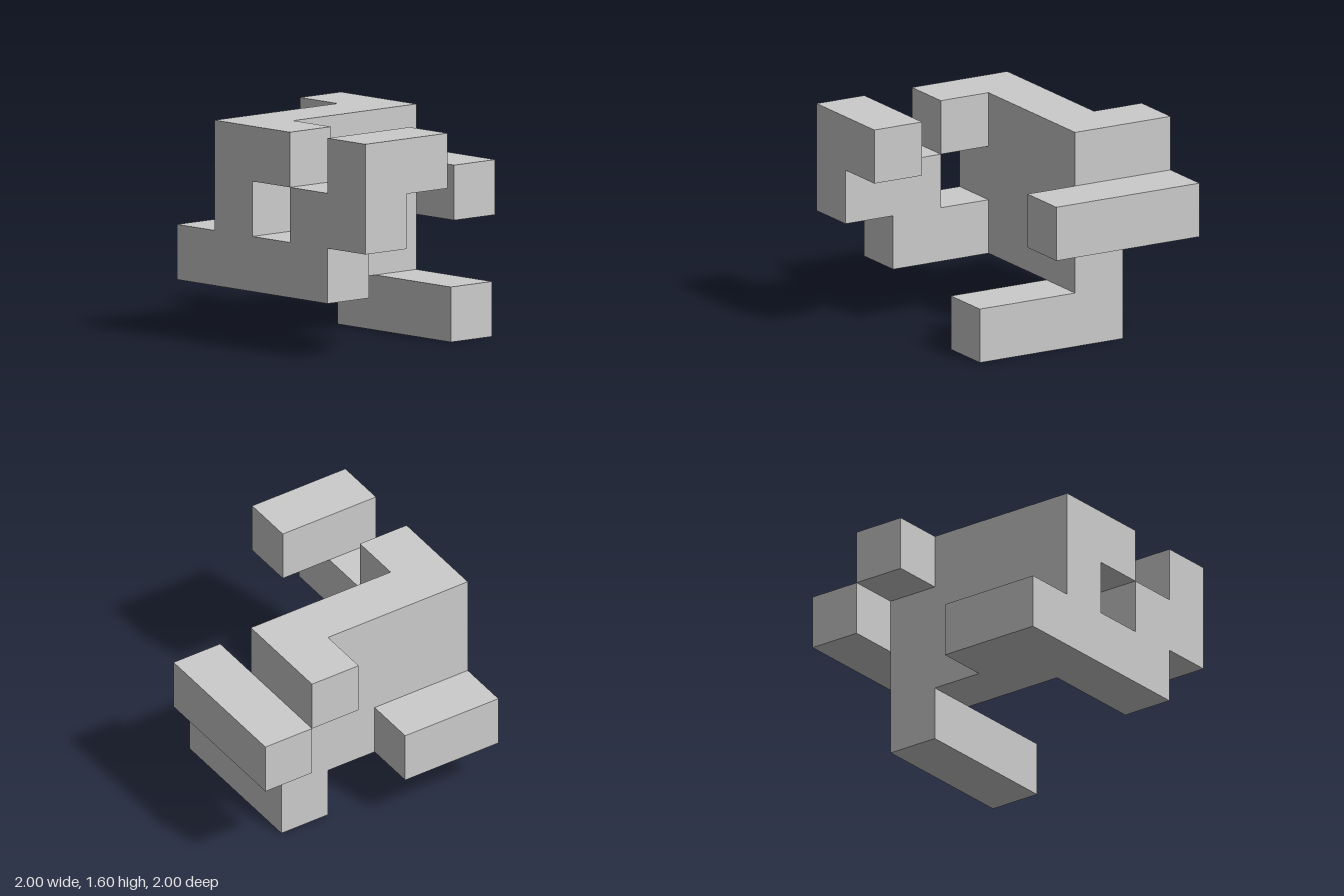
import * as THREE from 'three';
import { mergeGeometries } from 'three/addons/utils/BufferGeometryUtils.js';

const CELL = 0.4;

// Each part is a straight bar of cubes: [first cell, last cell] as x, y, z indices
const PARTS = {
  wall: [[1, 1, 1], [1, 3, 4]],
  rearBar: [[0, 2, 0], [2, 2, 0]],
  foot: [[1, 0, 1], [3, 0, 1]],
  upperRearStub: [[0, 3, 1], [0, 3, 1]],
  upperFrontStub: [[2, 3, 4], [2, 3, 4]],
  sideBlock: [[0, 1, 3], [0, 1, 4]],
  frontRail: [[2, 1, 4], [3, 1, 4]],
  frontPost: [[3, 2, 4], [3, 2, 4]],
  armPost: [[4, 2, 4], [4, 2, 4]],
  armTop: [[4, 3, 3], [4, 3, 4]],
};

// Outward directions with the rotation that turns a +z plane to face them
const SIDES = [
  [1, 0, 0, 0, Math.PI / 2], [-1, 0, 0, 0, -Math.PI / 2],
  [0, 1, 0, -Math.PI / 2, 0], [0, -1, 0, Math.PI / 2, 0],
  [0, 0, 1, 0, 0], [0, 0, -1, 0, Math.PI],
];

function cellsOf([a, b]) {
  const cells = [];
  for (let x = a[0]; x <= b[0]; x++)
    for (let y = a[1]; y <= b[1]; y++)
      for (let z = a[2]; z <= b[2]; z++) cells.push([x, y, z]);
  return cells;
}

// Outer faces only: a face shared by two cubes is left out
function barGeometry(cells, filled) {
  const faces = [];
  for (const [x, y, z] of cells) {
    for (const [dx, dy, dz, rx, ry] of SIDES) {
      if (filled.has(`${x + dx},${y + dy},${z + dz}`)) continue;
      const face = new THREE.PlaneGeometry(CELL, CELL);
      face.rotateX(rx).rotateY(ry);
      face.translate(
        (x - 2 + dx / 2) * CELL,
        (y + 0.5 + dy / 2) * CELL,
        (z - 2 + dz / 2) * CELL,
      );
      faces.push(face);
    }
  }
  return mergeGeometries(faces);
}

export function createModel() {
  const group = new THREE.Group();
  group.name = 'cubePuzzlePiece';
  const material = new THREE.MeshStandardMaterial({ color: 0xcccccc });
  const filled = new Set(Object.values(PARTS).flatMap(cellsOf).map((c) => c.join(',')));

  for (const [name, span] of Object.entries(PARTS)) {
    const mesh = new THREE.Mesh(barGeometry(cellsOf(span), filled), material);
    mesh.name = name;
    group.add(mesh);
  }
  return group;
}
